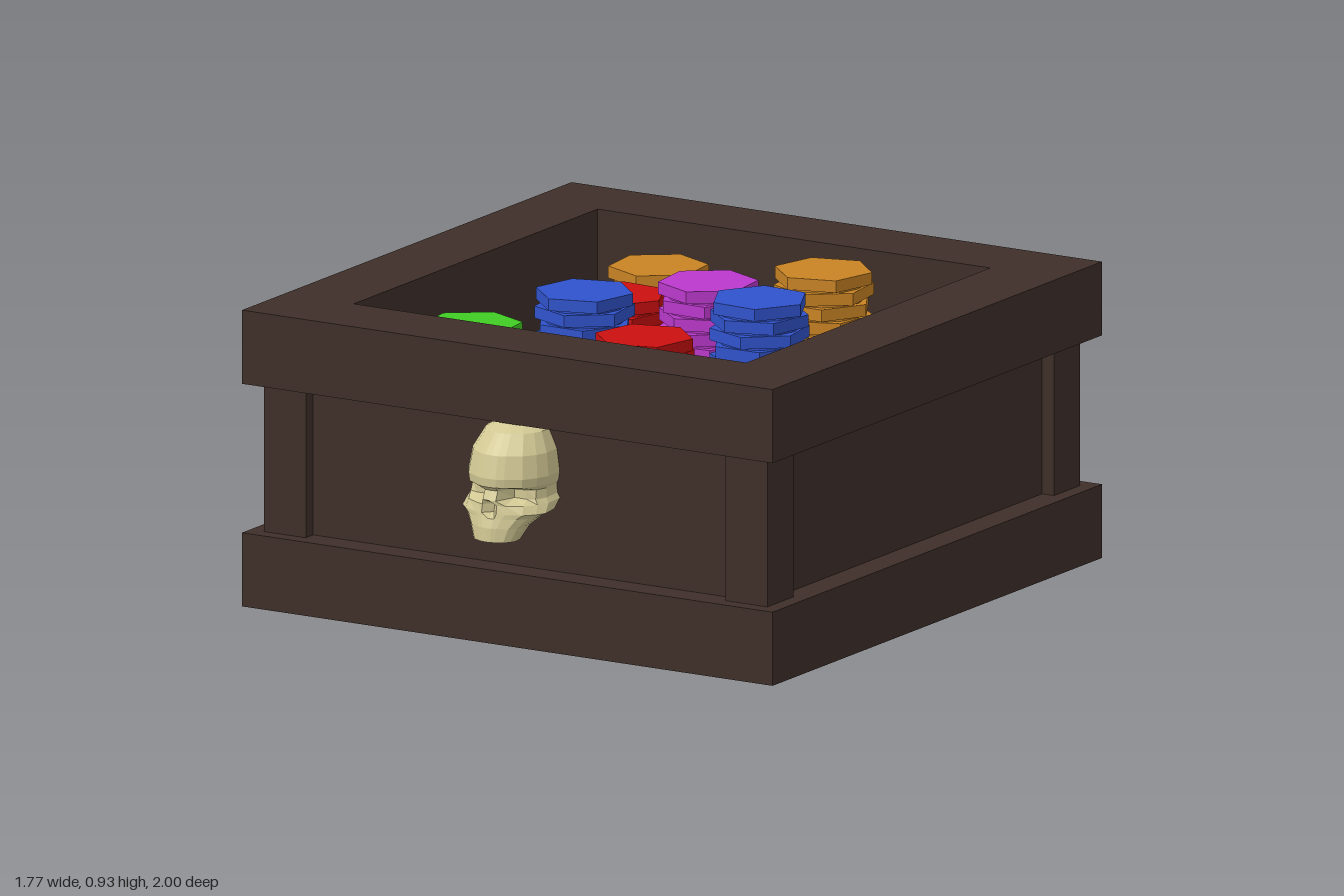
import * as THREE from 'three';

const mat = (color, side = THREE.FrontSide) => new THREE.MeshStandardMaterial({ color, side, flatShading: true });
const wood = mat(0x3e2f29);
const bone = mat(0xd2c894, THREE.DoubleSide);
const chipColors = {
  orange: mat(0xc98324), red: mat(0xcc1010), purple: mat(0xbb38cc),
  blue: mat(0x3053cc), green: mat(0x40cc24),
};
const INNER = 0.655, FLOOR = 0.11;

function add(parent, name, geometry, material, x = 0, y = 0, z = 0) {
  const mesh = new THREE.Mesh(geometry, material);
  mesh.name = name;
  mesh.position.set(x, y, z);
  parent.add(mesh);
  return mesh;
}

// Square frame with a square opening, between two heights
function frame(outer, y0, y1) {
  const square = (r) => [[-r, -r], [r, -r], [r, r], [-r, r]].map(([x, y]) => new THREE.Vector2(x, y));
  const shape = new THREE.Shape(square(outer));
  shape.holes.push(new THREE.Path(square(INNER).reverse()));
  return new THREE.ExtrudeGeometry(shape, { depth: y1 - y0, bevelEnabled: false })
    .rotateX(-Math.PI / 2).translate(0, y0, 0);
}

// Skull levels from crown to chin: height, half width, front z, back z
const skullLevels = [
  [0.652, 0.001, 0.86, 0.80],
  [0.648, 0.055, 0.88, 0.79],
  [0.630, 0.090, 0.925, 0.79],
  [0.575, 0.118, 0.972, 0.79],
  [0.510, 0.128, 0.988, 0.79],
  [0.485, 0.124, 0.986, 0.79],
  [0.473, 0.118, 0.972, 0.79],
  [0.446, 0.120, 0.984, 0.79],
  [0.432, 0.130, 0.982, 0.80],
  [0.408, 0.136, 0.986, 0.84],
  [0.395, 0.112, 0.990, 0.86],
  [0.368, 0.086, 0.998, 0.895],
  [0.328, 0.068, 1.000, 0.92],
  [0.330, 0.001, 0.96, 0.94],
];
// Across half a level: share of the half width, and how far the surface falls back
const across = [[0, 0], [0.18, 0.01], [0.36, 0.06], [0.7, 0.2], [0.9, 0.4], [1, 0.6], [0.95, 1]];

function skullGeometry() {
  const pos = [], index = [];
  const n = across.length * 2 - 1;
  skullLevels.forEach(([y, width, front, back], r) => {
    const inSocket = y > 0.44 && y < 0.48, inNose = y > 0.4 && y < 0.44;
    for (let i = 0; i < n; i++) {
      const k = i - across.length + 1, column = Math.abs(k);
      const [share, fall] = across[column];
      let z = front + (back - front) * fall;
      // Sink the eye sockets and the nose opening
      if (inSocket && (column === 2 || column === 3)) z = 0.915;
      if (inNose && column === 0) z -= 0.03;
      pos.push(Math.sign(k) * share * width, y, z);
      if (r === 0) continue;
      const j = (i + 1) % n, a = (r - 1) * n, b = r * n;
      index.push(a + i, b + i, b + j, a + i, b + j, a + j);
    }
  });
  const g = new THREE.BufferGeometry();
  g.setAttribute('position', new THREE.Float32BufferAttribute(pos, 3));
  g.setIndex(index);
  g.computeVertexNormals();
  return g;
}

// Stack of six-sided chips, each turned against the next, around a narrower core
function chipStack(color, x, z, top, turn) {
  const stack = new THREE.Group();
  stack.name = `${color}ChipStack`;
  stack.position.set(x, 0, z);
  const pitch = 0.042, thick = 0.035;
  const chip = new THREE.CylinderGeometry(0.143, 0.143, thick, 6);
  for (let y = top - thick / 2, i = 0; y - thick / 2 > FLOOR; y -= pitch, i++) {
    add(stack, 'chip', chip, chipColors[color], 0, y, 0).rotation.y = turn + i * 0.38;
  }
  const h = top - 0.01 - FLOOR;
  add(stack, 'stackCore', new THREE.CylinderGeometry(0.118, 0.118, h, 12), chipColors[color], 0, FLOOR + h / 2, 0);
  return stack;
}

export function createModel() {
  const model = new THREE.Group();
  model.name = 'chipBox';

  // Wooden tray: base, recessed walls, rim and floor
  add(model, 'baseFrame', frame(0.885, 0, 0.215), wood);
  add(model, 'wallPanels', frame(0.80, 0.215, 0.65), wood);
  add(model, 'topRim', frame(0.885, 0.65, 0.865), wood);
  add(model, 'floor', new THREE.BoxGeometry(INNER * 2, 0.04, INNER * 2), wood, 0, FLOOR - 0.02, 0);

  // Corner posts
  const post = new THREE.BoxGeometry(0.14, 0.435, 0.14);
  for (const sx of [-1, 1]) for (const sz of [-1, 1]) {
    add(model, 'cornerPost', post, wood, sx * 0.77, 0.4325, sz * 0.77);
  }

  // Skull ornaments on front and back
  const skull = skullGeometry();
  add(model, 'frontSkull', skull, bone);
  add(model, 'backSkull', skull, bone).rotation.y = Math.PI;

  // Chip stacks: colour, x, z, top height
  [
    ['orange', -0.30, -0.41, 0.80], ['orange', 0.31, -0.315, 0.888],
    ['red', -0.22, -0.066, 0.80], ['purple', 0.105, -0.025, 0.888],
    ['blue', -0.13, 0.26, 0.89], ['blue', 0.41, 0.19, 0.925],
    ['green', -0.39, 0.445, 0.80], ['red', 0.195, 0.463, 0.843],
  ].forEach(([color, x, z, top], i) => model.add(chipStack(color, x, z, top, 0.1 + i * 0.7)));

  return model;
}
